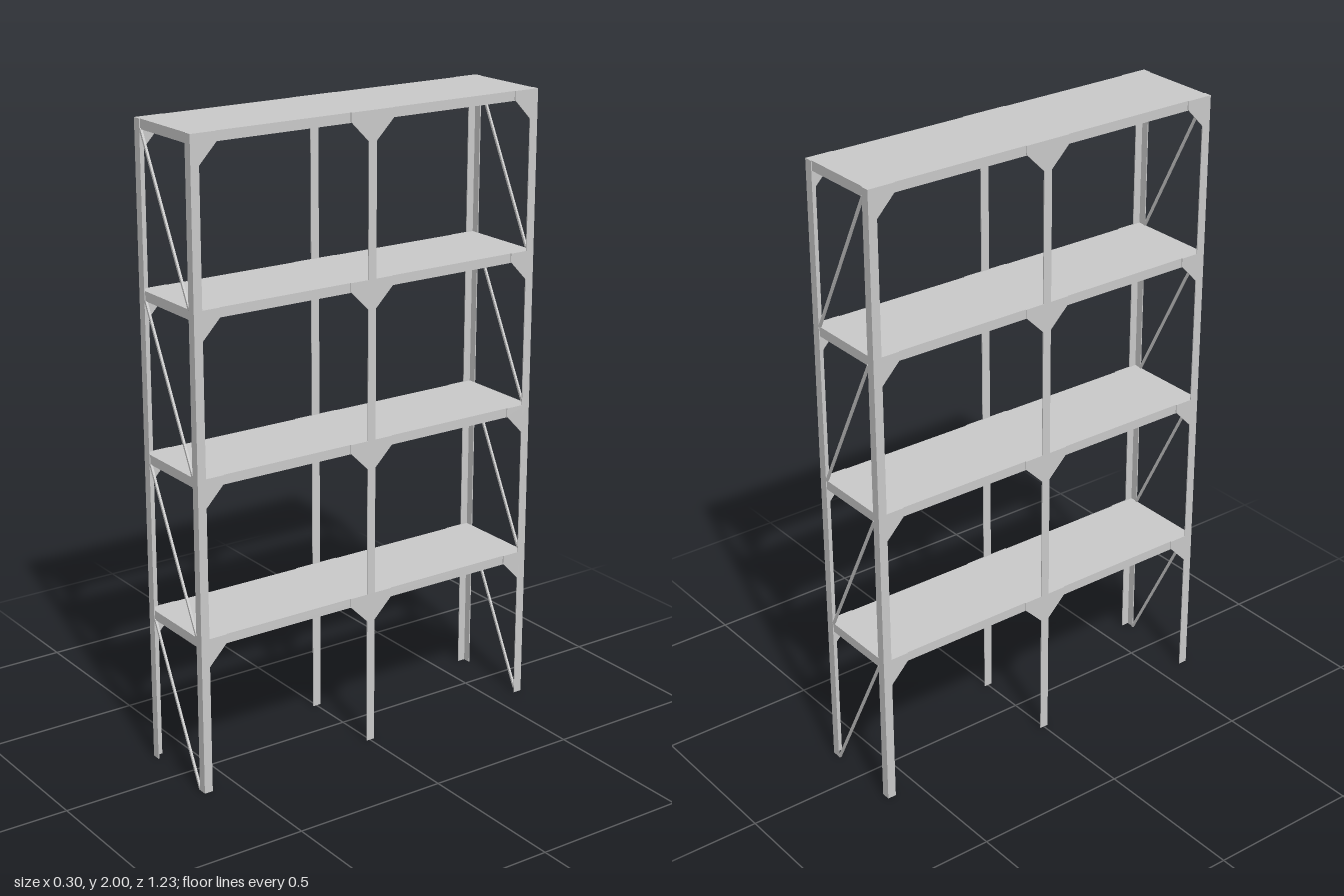
import * as THREE from 'three';

const X = 0.15, Z = 0.613;      // outer half width and half length
const T = 0.003;                // sheet thickness
const W = 0.028;                // flange width of the posts
const RIM = 0.03;               // height of the shelf edge
const LEVELS = [0.5, 1, 1.5, 2];
const steel = new THREE.MeshStandardMaterial({ color: 0xcccccc, side: THREE.DoubleSide });

export function createModel() {
  const model = new THREE.Group();
  const add = (parent, name, geometry, x, y, z) => {
    const mesh = new THREE.Mesh(geometry, steel);
    mesh.name = name;
    mesh.position.set(x, y, z);
    parent.add(mesh);
    return mesh;
  };
  const box = (parent, name, w, h, d, x, y, z) =>
    add(parent, name, new THREE.BoxGeometry(w, h, d), x, y, z);

  // Upright plate drawn as (z, y) points, extruded along x
  const sidePlate = (points, side) => {
    const shape = new THREE.Shape(points.map(([z, y]) => new THREE.Vector2(-z, y)));
    const geometry = new THREE.ExtrudeGeometry(shape, { depth: T, bevelEnabled: false });
    geometry.rotateY(Math.PI / 2);
    geometry.translate(side > 0 ? X - T : -X, 0, 0);
    return geometry;
  };

  for (const sx of [1, -1]) {
    // Angle-section corner posts
    for (const sz of [1, -1]) {
      const post = new THREE.Group();
      post.name = 'cornerPost';
      box(post, 'sideFlange', T, 2, W, sx * (X - T / 2), 1, sz * (Z - W / 2));
      box(post, 'endFlange', W - T, 2, T, sx * (X - T - (W - T) / 2), 1, sz * (Z - T / 2));
      model.add(post);
    }
    // Flat middle posts
    box(model, 'middlePost', T, 2, W, sx * (X - T / 2), 1, 0);

    // Gusset plates, with cut corners, at every shelf
    for (const y of LEVELS) {
      for (const sz of [1, -1]) {
        const corner = [[Z, y], [0.525, y], [0.525, y - 0.027], [Z - W, y - 0.09], [Z, y - 0.09]];
        add(model, 'cornerGusset', sidePlate(corner.map(([z, h]) => [sz * z, h]), sx), 0, 0, 0);
      }
      const middle = [[-0.077, y], [0.077, y], [0.077, y - 0.027], [W / 2, y - 0.09],
        [-W / 2, y - 0.09], [-0.077, y - 0.027]];
      add(model, 'middleGusset', sidePlate(middle, sx), 0, 0, 0);
    }
  }

  // Shelves: a thin sheet with a turned-down rim, open below
  const hx = X - T, hz = Z - T;
  for (const y of LEVELS) {
    const shelf = new THREE.Group();
    shelf.name = 'shelf';
    box(shelf, 'shelfTop', 2 * hx, T, 2 * hz, 0, y - T / 2, 0);
    for (const s of [1, -1]) {
      box(shelf, 'sideRim', T, RIM - T, 2 * hz, s * (hx - T / 2), y - (RIM + T) / 2, 0);
      box(shelf, 'endRim', 2 * (hx - T), RIM - T, T, 0, y - (RIM + T) / 2, s * (hz - T / 2));
    }
    model.add(shelf);
  }

  // Diagonal braces across both ends, one per bay
  for (const sz of [1, -1]) {
    for (const y of LEVELS) {
      const dx = 0.242, dy = 0.472;
      const brace = box(model, 'diagonalBrace', 0.007, Math.hypot(dx, dy), 0.007,
        0, y - RIM + 0.002 - dy / 2, sz * (Z - 0.0035));
      brace.rotation.z = Math.atan2(dx, dy);
    }
  }
  return model;
}
